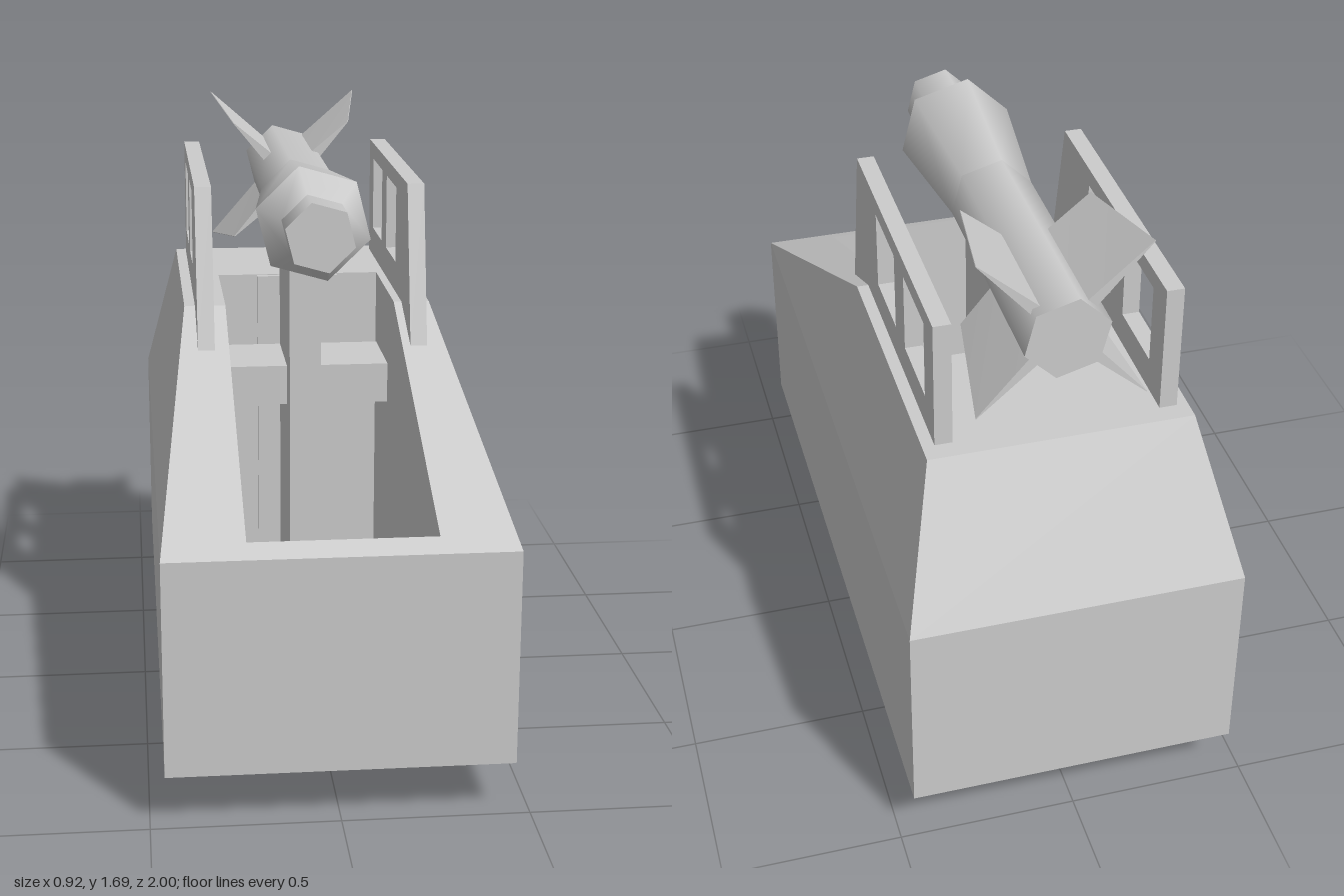
import * as THREE from 'three';

const grey = new THREE.MeshStandardMaterial({ color: 0xcccccc });

function add(parent, name, geometry, x = 0, y = 0, z = 0) {
  const mesh = new THREE.Mesh(geometry, grey);
  mesh.name = name;
  mesh.position.set(x, y, z);
  parent.add(mesh);
  return mesh;
}

// Box given by its limits on each axis
function addBox(parent, name, [x0, x1], [y0, y1], [z0, z1]) {
  return add(parent, name, new THREE.BoxGeometry(x1 - x0, y1 - y0, z1 - z0),
    (x0 + x1) / 2, (y0 + y1) / 2, (z0 + z1) / 2);
}

// Six-point ring: front, middle and back stations, each [halfWidth, y, z]
function ring(stations, shift = 0) {
  const right = stations.map(([w, y, z]) => [shift + w, y, z]);
  const left = stations.map(([w, y, z]) => [shift - w, y, z]).reverse();
  return [...right, ...left];
}

// Hard-edged skin through the rings, closed at both ends
function loft(rings) {
  const pos = [];
  const tri = (...pts) => pts.forEach((p) => pos.push(...p));
  for (let r = 0; r < rings.length - 1; r++) {
    const a = rings[r], b = rings[r + 1];
    for (let i = 0; i < a.length; i++) {
      const j = (i + 1) % a.length;
      tri(a[i], a[j], b[j]);
      tri(a[i], b[j], b[i]);
    }
  }
  const first = rings[0], last = rings[rings.length - 1];
  for (let i = 1; i < first.length - 1; i++) {
    tri(first[0], first[i + 1], first[i]);
    tri(last[0], last[i], last[i + 1]);
  }
  const geometry = new THREE.BufferGeometry();
  geometry.setAttribute('position', new THREE.Float32BufferAttribute(pos, 3));
  geometry.computeVertexNormals();
  return geometry;
}

// Side rail with two windows; the shape's x runs towards the back
function railGeometry() {
  const points = (list) => list.map(([z, y]) => new THREE.Vector2(-z, y));
  const shape = new THREE.Shape(points([
    [0.215, 1.075], [0.02, 1.16], [-0.755, 1.16], [-0.755, 1.525], [0.11, 1.525],
  ]));
  for (const [z0, z1] of [[-0.12, -0.335], [-0.44, -0.66]]) {
    shape.holes.push(new THREE.Path(points([[z0, 1.25], [z0, 1.475], [z1, 1.475], [z1, 1.25]])));
  }
  const geometry = new THREE.ExtrudeGeometry(shape, { depth: 0.048, bevelEnabled: false });
  return geometry.rotateY(Math.PI / 2);
}

// Fin swept towards the back, thick at the root and sharp at the tip
function finGeometry() {
  const geometry = new THREE.BoxGeometry(1, 1, 1);
  const p = geometry.attributes.position;
  for (let i = 0; i < p.count; i++) {
    const outer = p.getX(i) > 0, back = p.getZ(i) < 0;
    const radius = outer ? (back ? 0.325 : 0.25) : 0.09;
    p.setXYZ(i, radius, p.getY(i) * (outer ? 0.002 : 0.034), back ? -0.76 : -0.41);
  }
  geometry.computeVertexNormals();
  return geometry;
}

export function createModel() {
  const model = new THREE.Group();
  model.name = 'launcherBoat';

  // Hull with an open well
  add(model, 'hull', loft([
    ring([[0.35, 0, 0.2], [0.35, 0, 0.02], [0.35, 0, -0.79]]),
    ring([[0.46, 0.145, 1], [0.46, 0.145, 0.02], [0.46, 0.145, -1]]),
    ring([[0.46, 0.735, 1], [0.46, 0.735, 0.02], [0.46, 0.735, -1]]),
    ring([[0.46, 0.735, 1], [0.36, 1.16, 0.02], [0.36, 1.16, -0.81]]),
    ring([[0.248, 0.761, 0.94], [0.248, 1.16, 0.02], [0.248, 1.16, -0.39]], 0.008),
    ring([[0.248, 0.2, 0.94], [0.248, 0.2, 0.02], [0.248, 0.2, -0.39]], 0.008),
  ]));

  // Bench, back panel and post inside the well
  addBox(model, 'bench', [-0.24, 0.256], [0.82, 0.94], [-0.37, -0.1]);
  addBox(model, 'backPanel', [-0.12, 0.13], [0.2, 1.158], [-0.389, -0.37]);
  addBox(model, 'post', [-0.05, 0.043], [0.2, 1.4], [-0.37, 0]);

  // Side rails
  const rail = railGeometry();
  add(model, 'rightRail', rail, -0.329);
  add(model, 'leftRail', rail, 0.279);

  // Six-sided rocket lying along z
  const rocket = new THREE.Group();
  rocket.name = 'rocket';
  rocket.position.set(-0.011, 1.455, 0);
  model.add(rocket);
  const sections = [
    ['rocketTip', 0.525, 0.098, 0.4, 0.098],
    ['noseCone', 0.4, 0.098, 0.325, 0.165],
    ['taperedBody', 0.325, 0.165, -0.08, 0.118],
    ['rearBody', -0.08, 0.118, -0.795, 0.118],
  ];
  for (const [name, z0, r0, z1, r1] of sections) {
    const geometry = new THREE.CylinderGeometry(r0, r1, z0 - z1, 6, 1, false, 0.245);
    add(rocket, name, geometry.rotateX(Math.PI / 2), 0, 0, (z0 + z1) / 2);
  }

  // Four diagonal fins
  const fin = finGeometry();
  for (let i = 0; i < 4; i++) {
    add(rocket, 'fin', fin).rotation.z = Math.PI / 4 + (i * Math.PI) / 2;
  }
  return model;
}
